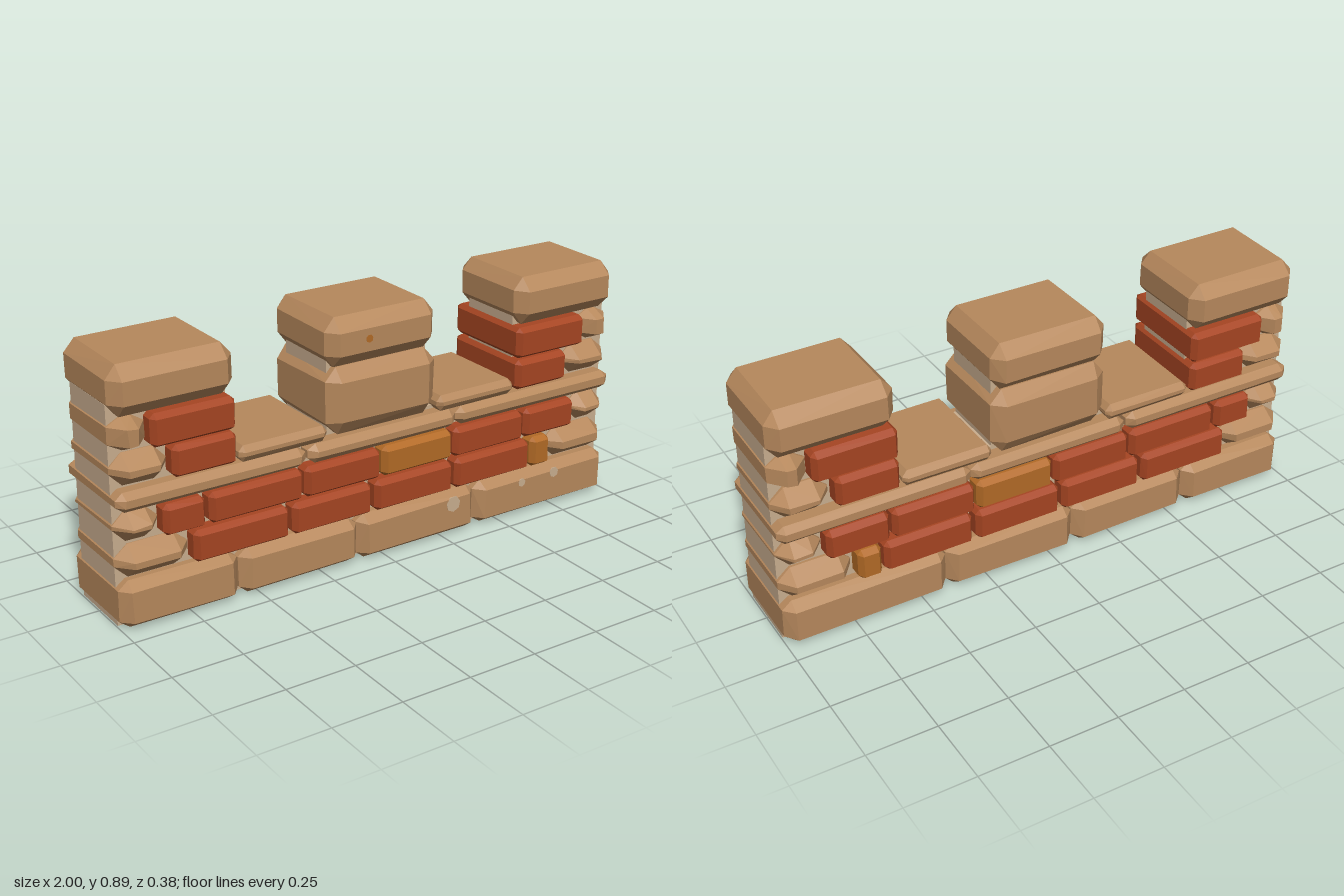
import * as THREE from 'three';
import { ConvexGeometry } from 'three/addons/geometries/ConvexGeometry.js';

export function createModel() {
  const group = new THREE.Group();
  const material = (name, color) => {
    const m = new THREE.MeshStandardMaterial({ color });
    m.name = name;
    return m;
  };
  const stone = material('sandstone', 0xb6885c);
  const brick = material('red brick', 0xa64522);
  const amber = material('amber brick', 0xb26a26);
  const mortar = material('mortar', 0xc9ae8f);

  // small seeded generator for hand-cut irregularity
  let seed = 7;
  const rand = () => (seed = (seed * 16807) % 2147483647) / 2147483647;

  const add = (name, geometry, mat) => {
    const mesh = new THREE.Mesh(geometry, mat);
    mesh.name = name;
    group.add(mesh);
    return mesh;
  };

  // block with chamfered edges and corners; c = chamfer along x, y, z
  function block(name, mat, [x0, x1], [y0, y1], c, wobble = 0, depth = 0.19) {
    const h = [(x1 - x0) / 2, (y1 - y0) / 2, depth];
    const points = [];
    for (const sx of [-1, 1]) for (const sy of [-1, 1]) for (const sz of [-1, 1]) {
      for (let axis = 0; axis < 3; axis++) {
        const p = h.map((v, i) => (i === axis ? v : v - c[i] - rand() * wobble));
        points.push(new THREE.Vector3(p[0] * sx, p[1] * sy, p[2] * sz));
      }
    }
    add(name, new ConvexGeometry(points), mat).position.set((x0 + x1) / 2, (y0 + y1) / 2, 0);
  }

  // mortar core
  function core(name, x0, x1, y0, y1) {
    add(name, new THREE.BoxGeometry(x1 - x0, y1 - y0, 0.25), mortar)
      .position.set((x0 + x1) / 2, (y0 + y1) / 2, 0.002);
  }
  core('wallCore', -0.996, 0.996, 0.002, 0.49);
  core('leftMerlonCore', -0.996, -0.58, 0.48, 0.76);
  core('middleMerlonCore', -0.2, 0.2, 0.48, 0.76);
  core('rightMerlonCore', 0.58, 0.996, 0.48, 0.76);

  // foundation stones
  for (const x of [[-1, -0.57], [-0.565, -0.1], [-0.1, 0.4], [0.4, 1]])
    block('baseStone', stone, x, [0, 0.165], [0.03, 0.023, 0.035], 0.008);

  // brick courses; each end is closed by a tapered stone
  const courses = [
    { y: [0.17, 0.283], ends: [-0.74, 0.74], taper: 0.04,
      red: [[-0.735, -0.38], [-0.365, -0.05], [-0.035, 0.29], [0.305, 0.635]], amber: [[0.645, 0.73]] },
    { y: [0.293, 0.402], ends: [-0.84, 0.84], taper: 0.045,
      red: [[-0.84, -0.69], [-0.675, -0.325], [-0.315, -0.015], [0.295, 0.6], [0.61, 0.835]],
      amber: [[-0.005, 0.285]] },
    { y: [0.485, 0.595], ends: [-0.8, 0.8], taper: 0.042,
      red: [[-0.8, -0.57], [0.565, 0.79]], amber: [] },
    { y: [0.602, 0.715], ends: [-0.87, 0.87], taper: 0.025,
      red: [[-0.87, -0.57], [0.565, 0.865]], amber: [] },
  ];
  for (const row of courses) {
    const chamfer = [0.014, 0.014, 0.022];
    for (const x of row.red) block('redBrick', brick, x, row.y, chamfer, 0.002);
    for (const x of row.amber) block('amberBrick', amber, x, row.y, chamfer, 0.002);
    for (const x of [[-1, row.ends[0]], [row.ends[1], 1]])
      block('endStone', stone, x, row.y, [0.045, row.taper, 0.055], 0.007);
  }

  // long string course
  for (const x of [[-1, -0.31], [-0.3, 0.305], [0.305, 1]])
    block('stringStone', stone, x, [0.41, 0.477], [0.025, 0.018, 0.02], 0.006);

  // thin sills in the two gaps
  for (const x of [[-0.56, -0.225], [0.225, 0.555]])
    block('sillStone', stone, x, [0.478, 0.535], [0.015, 0.018, 0.015], 0.005, 0.183);

  // middle merlon stone and the three caps
  block('middleMerlonStone', stone, [-0.22, 0.22], [0.482, 0.72], [0.04, 0.045, 0.035], 0.008);
  for (const x of [[-1, -0.565], [-0.22, 0.215], [0.565, 1]])
    block('capStone', stone, x, [0.72, 0.892], [0.035, 0.043, 0.042], 0.004);

  // worn patches on the stone faces
  const patches = [
    [0.29, 0.12, 0.03, mortar], [0.6, 0.125, 0.016, mortar], [0.75, 0.13, 0.02, mortar], [-0.07, 0.81, 0.014, amber],
  ];
  for (const [x, y, r, mat] of patches) {
    const patch = add('wornPatch', new THREE.CylinderGeometry(r, r, 0.004, 7), mat);
    patch.rotation.x = Math.PI / 2;
    patch.position.set(x, y, 0.189);
  }
  return group;
}
